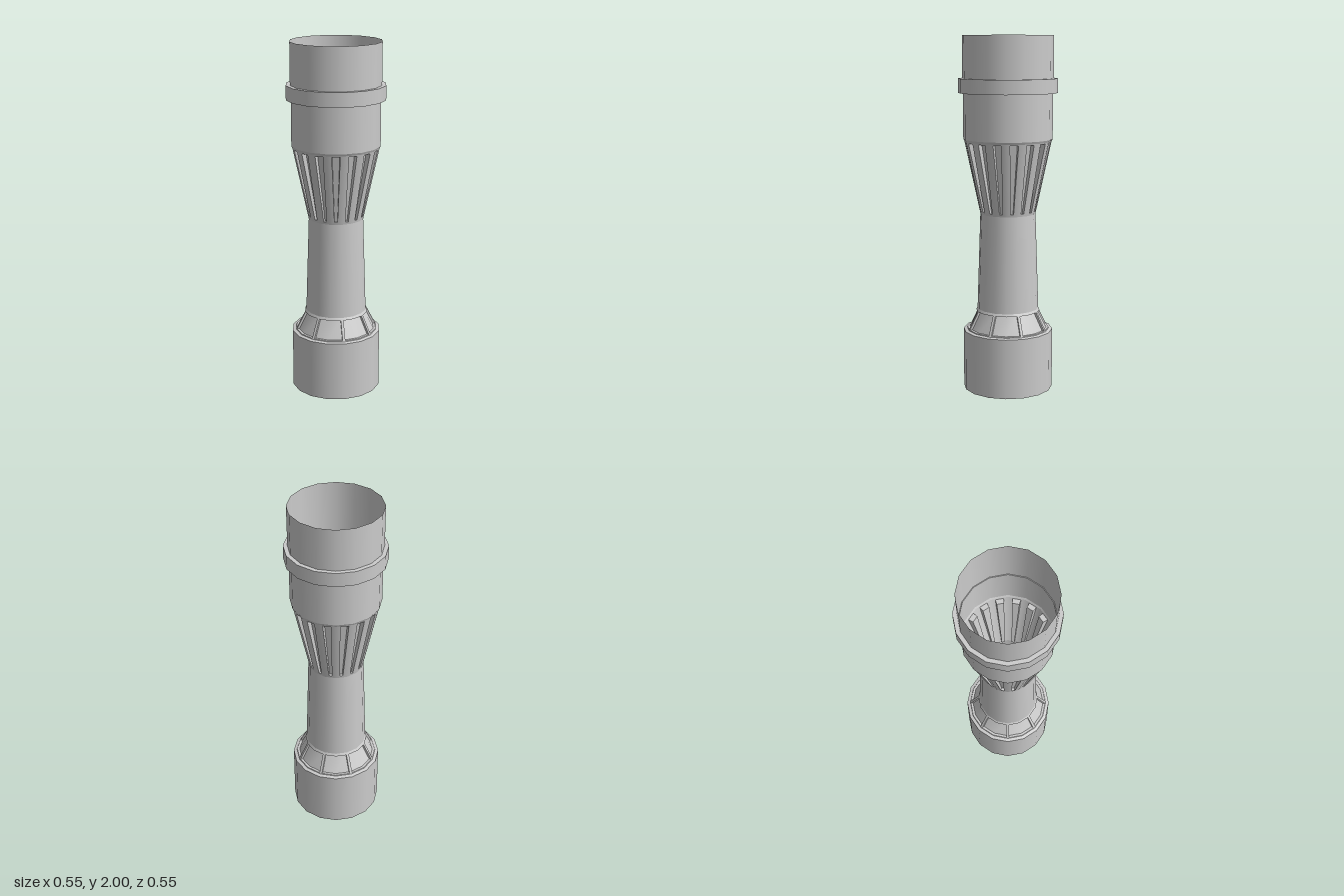
import * as THREE from 'three';
import { toCreasedNormals } from 'three/addons/utils/BufferGeometryUtils.js';

const SIDES = 16;
const material = new THREE.MeshStandardMaterial({ color: 0xcccccc, side: THREE.DoubleSide });

// Ring of wall between two profile points [radius, y]
function wall(name, a, b) {
  const pts = [a, b].map(([r, y]) => new THREE.Vector2(r, y));
  const mesh = new THREE.Mesh(new THREE.LatheGeometry(pts, SIDES), material);
  mesh.name = name;
  return mesh;
}

// Conical band whose facets carry recesses. facet(k) gives, for bottom and top:
// u ranges of the opening, its v range and the recess depths.
function recessedBand(name, [r0, y0], [r1, y1], facet) {
  const pos = [];
  const quad = (a, b, c, d) => {
    for (const p of [a, b, c, a, c, d]) pos.push(p.x, p.y, p.z);
  };
  for (let k = 0; k < SIDES; k++) {
    const a0 = (k / SIDES) * Math.PI * 2, a1 = ((k + 1) / SIDES) * Math.PI * 2;
    const point = (u, v) => {
      const r = r0 + (r1 - r0) * v;
      const x = Math.sin(a0) * (1 - u) + Math.sin(a1) * u;
      const z = Math.cos(a0) * (1 - u) + Math.cos(a1) * u;
      return new THREE.Vector3(x * r, y0 + (y1 - y0) * v, z * r);
    };
    const sink = (p, d) => {
      const s = 1 - d / Math.hypot(p.x, p.z);
      return new THREE.Vector3(p.x * s, p.y, p.z * s);
    };
    const { low, high, v, depth } = facet(k);
    const corner = [point(0, 0), point(1, 0), point(1, 1), point(0, 1)];
    const open = [point(low[0], v[0]), point(low[1], v[0]), point(high[1], v[1]), point(high[0], v[1])];
    const floor = open.map((p, i) => sink(p, depth[i < 2 ? 0 : 1]));
    // The recess runs on into the neighbouring facet where it meets the facet edge
    const joined = [false, low[1] === 1, false, low[0] === 0];
    const outer = corner.slice();
    if (joined[1]) { outer[1] = corner[1]; outer[2] = corner[2]; }
    for (let i = 0; i < 4; i++) {
      const j = (i + 1) % 4;
      if (joined[i]) continue;
      quad(outer[i], outer[j], open[j], open[i]);
      quad(open[i], open[j], floor[j], floor[i]);
    }
    quad(...floor);
  }
  const geo = new THREE.BufferGeometry();
  geo.setAttribute('position', new THREE.Float32BufferAttribute(pos, 3));
  const mesh = new THREE.Mesh(toCreasedNormals(geo, 0.5), material);
  mesh.name = name;
  return mesh;
}

export function createModel() {
  const group = new THREE.Group();
  group.name = 'flutedTube';

  // Base and the eight-panel shoulder
  group.add(wall('base', [0.254, 0], [0.254, 0.34]));
  group.add(wall('baseRim', [0.254, 0.34], [0.235, 0.345]));
  group.add(recessedBand('panelShoulder', [0.235, 0.345], [0.178, 0.458], (k) => ({
    low: k % 2 ? [0.09, 1] : [0, 0.91],
    high: k % 2 ? [0.11, 1] : [0, 0.89],
    v: [0.04, 0.94],
    depth: [0.014, 0.014],
  })));

  // Waist
  group.add(wall('waistLip', [0.178, 0.458], [0.174, 0.465]));
  group.add(wall('waist', [0.174, 0.465], [0.156, 1.01]));

  // Flare with sixteen tapering flutes
  group.add(recessedBand('flutedFlare', [0.156, 1.01], [0.244, 1.418], () => ({
    low: [0.36, 0.64],
    high: [0.26, 0.74],
    v: [0.035, 0.985],
    depth: [0.016, 0.028],
  })));

  // Upper barrel, collar and open mouth
  group.add(wall('flareLip', [0.244, 1.418], [0.25, 1.43]));
  group.add(wall('barrel', [0.25, 1.43], [0.25, 1.685]));
  group.add(wall('collarUnderside', [0.25, 1.685], [0.277, 1.685]));
  group.add(wall('collar', [0.277, 1.685], [0.277, 1.765]));
  group.add(wall('collarTop', [0.277, 1.765], [0.254, 1.765]));
  group.add(wall('mouth', [0.254, 1.685], [0.254, 2]));
  return group;
}
